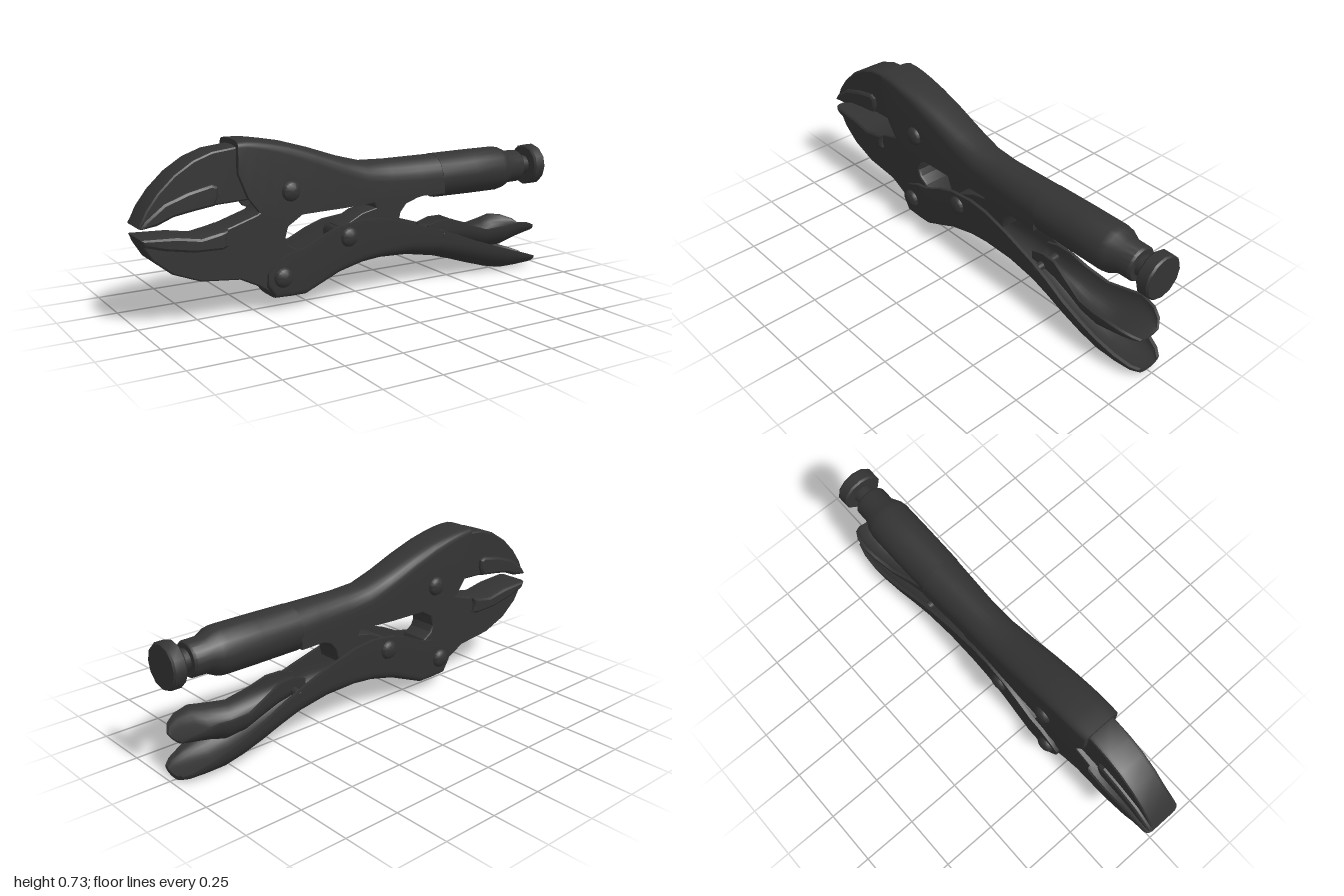
import * as THREE from 'three';
import { toCreasedNormals } from 'three/addons/utils/BufferGeometryUtils.js';

const steel = new THREE.MeshStandardMaterial({ color: 0x333333 });
const sheet = new THREE.MeshStandardMaterial({ color: 0x333333, side: THREE.DoubleSide });

function add(group, name, geometry, material = steel) {
  const mesh = new THREE.Mesh(toCreasedNormals(geometry, 0.6), material);
  mesh.name = name;
  group.add(mesh);
  return mesh;
}

// Flat plate with bevelled edges, centred on z = 0
function plate(points, half, bevel) {
  const shape = new THREE.Shape(points.map(([x, y]) => new THREE.Vector2(x, y)));
  const depth = 2 * (half - bevel);
  const g = new THREE.ExtrudeGeometry(shape, {
    depth, bevelThickness: bevel, bevelSize: bevel * 0.6, bevelOffset: -bevel * 0.6, bevelSegments: 2,
  });
  return g.translate(0, 0, -depth / 2);
}

// Folded sheet channel along x; station = [x, closed y, open y, half width, arch height, squareness]
function channel(stations, wall) {
  const arc = 14, n = arc + 3, ring = 2 * n, pos = [], idx = [];
  const profile = (x, yc, yo, w, r, sq = 2) => {
    const s = Math.sign(yc - yo), pts = [[x, yo, w]];
    for (let k = 0; k <= arc; k++) {
      const a = (k / arc) * Math.PI, c = Math.cos(a);
      pts.push([x, yc - s * r + s * r * Math.sin(a) ** (2 / sq), w * Math.sign(c) * Math.abs(c) ** (2 / sq)]);
    }
    pts.push([x, yo, -w]);
    return pts;
  };
  for (const [x, yc, yo, w, r, sq] of stations) {
    const t = Math.min(wall, Math.abs(yc - yo) * 0.5), s = Math.sign(yc - yo);
    const inner = profile(x, yc - s * t, yo, w - wall, Math.min(r, Math.abs(yc - yo) - t), sq);
    pos.push(...profile(x, yc, yo, w, r, sq).flat(), ...inner.reverse().flat());
  }
  const up = stations[0][1] > stations[0][2];
  const quad = (a, b, c, d) => (up ? idx.push(a, b, c, a, c, d) : idx.push(a, c, b, a, d, c));
  for (let i = 0; i < stations.length - 1; i++)
    for (let j = 0; j < ring; j++) {
      const k = (j + 1) % ring, p = i * ring, q = p + ring;
      quad(p + j, q + j, q + k, p + k);
    }
  const e = (stations.length - 1) * ring;
  for (let j = 0; j < n - 1; j++) {
    const o = ring - 1 - j;
    quad(j, j + 1, o - 1, o);
    quad(e + o, e + o - 1, e + j + 1, e + j);
  }
  const g = new THREE.BufferGeometry();
  g.setAttribute('position', new THREE.Float32BufferAttribute(pos, 3));
  g.setIndex(idx);
  return g;
}

// Turned part; profile = [radius, distance along axis]
const turned = (profile, sides) =>
  new THREE.LatheGeometry(profile.map(([r, d]) => new THREE.Vector2(r, d)), sides);

export function createModel() {
  const model = new THREE.Group();
  model.name = 'lockingPliers';

  // Upper handle: folded body running into a round barrel
  add(model, 'upperHandle', channel([
    [-0.59, 0.735, 0.6, 0.088, 0.03, 3],
    [-0.55, 0.734, 0.5, 0.09, 0.03, 3],
    [-0.5, 0.73, 0.435, 0.091, 0.035, 3],
    [-0.44, 0.72, 0.405, 0.091, 0.04, 3],
    [-0.36, 0.705, 0.405, 0.091, 0.05, 2.8],
    [-0.24, 0.67, 0.408, 0.091, 0.06, 2.6],
    [-0.1, 0.622, 0.41, 0.089, 0.07, 2.4],
    [0.02, 0.59, 0.415, 0.086, 0.08, 2.2],
    [0.15, 0.586, 0.42, 0.086, 0.09],
    [0.3, 0.586, 0.42, 0.093, 0.095],
    [0.41, 0.586, 0.42, 0.098, 0.098],
  ], 0.022), sheet);
  const barrel = add(model, 'barrel', turned([
    [0, 0.4], [0.1, 0.4], [0.102, 0.6], [0.102, 0.75], [0.096, 0.78], [0.076, 0.82],
    [0.075, 0.885], [0.068, 0.895], [0, 0.895]], 20));
  const screw = add(model, 'adjustingScrew', turned([
    [0, 0.88], [0.046, 0.88], [0.046, 0.94], [0.088, 0.94], [0.096, 0.948],
    [0.096, 0.992], [0.09, 1], [0, 1]], 12));
  for (const part of [barrel, screw]) {
    part.rotation.z = -Math.PI / 2;
    part.position.y = 0.488;
  }

  // Jaws with thicker gripping pads
  add(model, 'upperJaw', plate([
    [-1, 0.43], [-0.97, 0.49], [-0.92, 0.555], [-0.85, 0.62], [-0.77, 0.67], [-0.69, 0.698], [-0.58, 0.71],
    [-0.4, 0.67], [-0.4, 0.5], [-0.55, 0.485], [-0.68, 0.48], [-0.78, 0.468], [-0.86, 0.455], [-0.93, 0.428], [-0.99, 0.42],
  ], 0.066, 0.015));
  add(model, 'upperJawPad', plate([
    [-1, 0.425], [-0.98, 0.455], [-0.9, 0.515], [-0.8, 0.55], [-0.7, 0.572], [-0.672, 0.56], [-0.67, 0.52],
    [-0.69, 0.48], [-0.78, 0.468], [-0.86, 0.455], [-0.93, 0.428], [-0.99, 0.42],
  ], 0.082, 0.022));
  add(model, 'lowerJaw', plate([
    [-1, 0.385], [-0.99, 0.355], [-0.95, 0.29], [-0.87, 0.225], [-0.75, 0.178], [-0.58, 0.16], [-0.5, 0.12], [-0.43, 0.07],
    [-0.34, 0.09], [-0.29, 0.18], [-0.32, 0.255], [-0.36, 0.28], [-0.373, 0.31], [-0.36, 0.355], [-0.28, 0.405],
    [-0.29, 0.53], [-0.36, 0.57], [-0.43, 0.53], [-0.48, 0.44], [-0.5, 0.425], [-0.65, 0.378], [-0.75, 0.36], [-0.85, 0.378],
  ], 0.066, 0.012));
  add(model, 'lowerJawPad', plate([
    [-1, 0.385], [-0.985, 0.35], [-0.9, 0.325], [-0.78, 0.302], [-0.66, 0.298], [-0.632, 0.31], [-0.64, 0.345],
    [-0.63, 0.382], [-0.67, 0.374], [-0.75, 0.36], [-0.85, 0.378],
  ], 0.082, 0.022));

  // Lower handle: channel open at the top, flaring towards the grip
  add(model, 'lowerHandle', channel([
    [-0.465, 0.11, 0.17, 0.086, 0.02, 3.5],
    [-0.43, 0.058, 0.215, 0.09, 0.03, 3.5],
    [-0.36, 0.055, 0.248, 0.09, 0.03, 3.5],
    [-0.29, 0.052, 0.262, 0.09, 0.035, 3],
    [-0.2, 0.088, 0.305, 0.088, 0.04, 3],
    [-0.12, 0.12, 0.333, 0.086, 0.045, 3],
    [0, 0.145, 0.346, 0.084, 0.05, 2.6],
    [0.1, 0.152, 0.337, 0.084, 0.055, 2.4],
    [0.25, 0.143, 0.297, 0.086, 0.07, 2.2],
    [0.4, 0.115, 0.25, 0.092, 0.08],
    [0.5, 0.085, 0.215, 0.1, 0.09],
    [0.6, 0.052, 0.175, 0.11, 0.1],
    [0.7, 0.022, 0.14, 0.115, 0.105],
    [0.79, 0.004, 0.11, 0.115, 0.1],
    [0.88, 0.005, 0.08, 0.105, 0.072],
    [0.95, 0.008, 0.055, 0.085, 0.045],
    [0.98, 0.012, 0.043, 0.062, 0.03],
  ], 0.016), sheet);

  // Release lever nested in the lower handle
  add(model, 'releaseLever', channel([
    [0.36, 0.2, 0.265, 0.05, 0.04],
    [0.42, 0.19, 0.284, 0.05, 0.05],
    [0.49, 0.175, 0.283, 0.054, 0.06],
    [0.57, 0.15, 0.25, 0.068, 0.08],
    [0.67, 0.122, 0.217, 0.09, 0.09],
    [0.77, 0.118, 0.227, 0.11, 0.105],
    [0.83, 0.14, 0.237, 0.118, 0.095],
    [0.9, 0.158, 0.226, 0.108, 0.066],
    [0.945, 0.165, 0.208, 0.085, 0.041],
    [0.967, 0.17, 0.185, 0.055, 0.014],
  ], 0.014), sheet);

  // Toggle link between the handles
  add(model, 'toggleLink', plate([
    [-0.13, 0.25], [-0.08, 0.22], [0.1, 0.24], [0.185, 0.29], [0.2, 0.35], [0.23, 0.385], [0.29, 0.405], [0.38, 0.42],
    [0.38, 0.48], [0.08, 0.48], [0.06, 0.42], [0.07, 0.385], [0, 0.37], [-0.1, 0.32],
  ], 0.06, 0.008));

  // Domed rivets through both sides
  const rivets = [
    ['jawRivet', -0.36, 0.51, 0.043, 0.115],
    ['frontRivet', -0.4, 0.15, 0.043, 0.115],
    ['linkRivet', -0.08, 0.28, 0.043, 0.108],
    ['leverPin', 0.42, 0.226, 0.018, 0.097],
  ];
  for (const [name, x, y, r, h] of rivets) {
    const side = [[r, h - 0.022], [r * 0.85, h - 0.01], [r * 0.5, h - 0.002], [0, h]];
    const pin = add(model, name, turned([...side.map(([a, d]) => [a, -d]).reverse(), ...side], 14));
    pin.rotation.x = Math.PI / 2;
    pin.position.set(x, y, 0);
  }
  return model;
}
